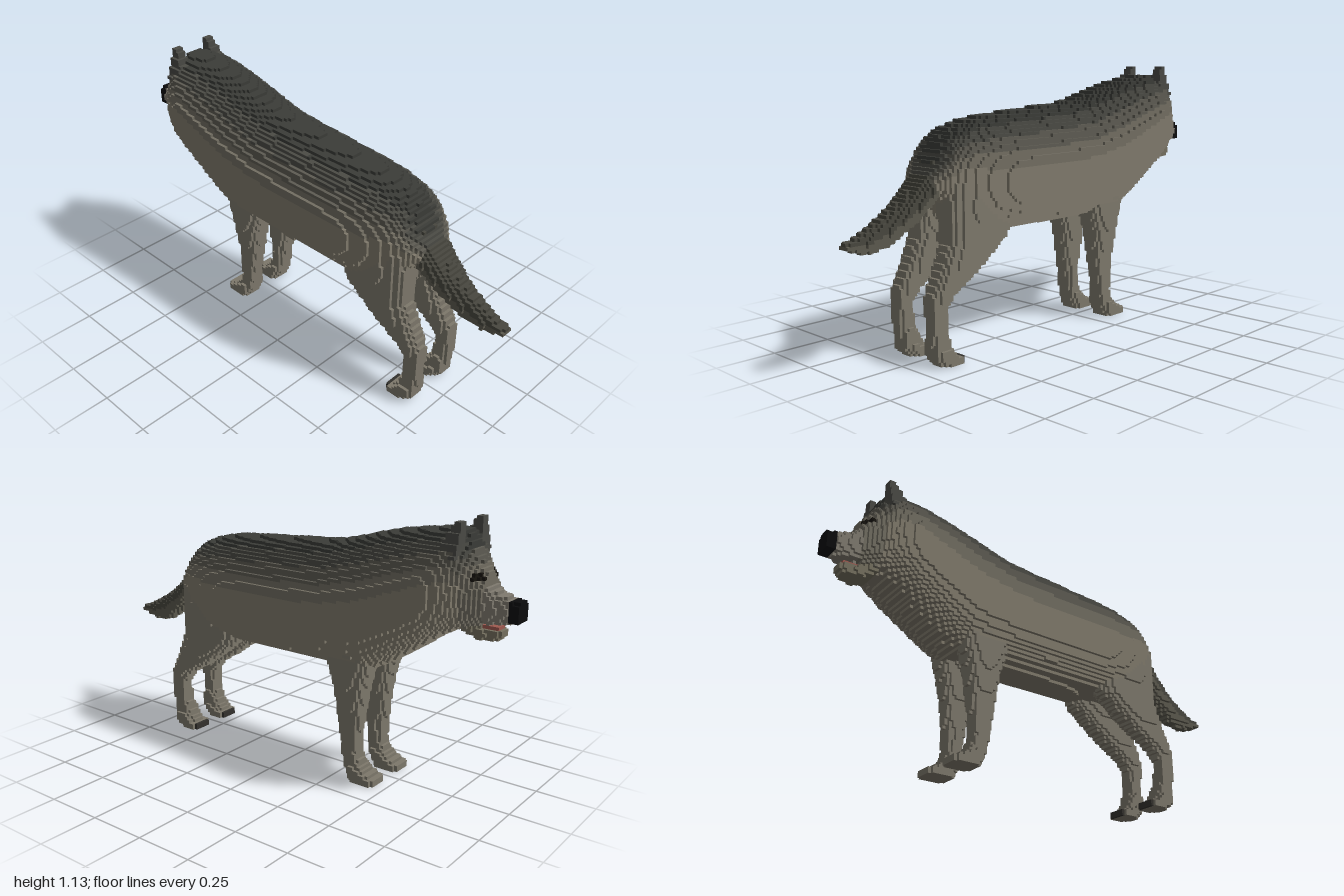
import * as THREE from 'three';

// The animal is filled into a fine grid of cubes; it faces -x.
const S = 1 / 75, NX = 150, NY = 86, NZ = 30;

// Interpolates a row of a profile table whose first column ascends
function row(table, t) {
  if (t < table[0][0] || t > table[table.length - 1][0]) return null;
  let i = 1;
  while (i < table.length - 1 && t > table[i][0]) i++;
  const a = table[i - 1], b = table[i], f = (t - a[0]) / (b[0] - a[0]);
  return a.map((v, k) => v + (b[k] - v) * f);
}

// Torso, neck and brow: x, bottom, widest height, top, half width
const TORSO = [
  [-0.87, 0.76, 0.82, 0.93, 0.075], [-0.82, 0.73, 0.85, 1.0, 0.115], [-0.79, 0.725, 0.87, 1.06, 0.145],
  [-0.77, 0.725, 0.87, 1.092, 0.165], [-0.72, 0.70, 0.87, 1.092, 0.192], [-0.66, 0.66, 0.85, 1.088, 0.203],
  [-0.5, 0.55, 0.78, 1.065, 0.203], [-0.4, 0.49, 0.74, 1.04, 0.203], [-0.2, 0.483, 0.70, 0.985, 0.203],
  [0, 0.483, 0.69, 0.97, 0.203], [0.28, 0.487, 0.69, 0.95, 0.202], [0.4, 0.49, 0.70, 0.938, 0.19],
  [0.5, 0.52, 0.72, 0.91, 0.17], [0.55, 0.57, 0.73, 0.88, 0.152], [0.6, 0.63, 0.71, 0.79, 0.13], [0.64, 0.66, 0.7, 0.74, 0.08],
];
// Tail: x, bottom, top, half width
const TAIL = [
  [0.55, 0.66, 0.87, 0.11], [0.62, 0.63, 0.765, 0.095], [0.7, 0.555, 0.685, 0.075], [0.76, 0.515, 0.64, 0.062],
  [0.82, 0.478, 0.60, 0.048], [0.9, 0.467, 0.555, 0.036], [0.95, 0.475, 0.53, 0.03], [1, 0.495, 0.515, 0.02],
];
// Muzzle above the open mouth, and the lower jaw
const MUZZLE = [[-1, 0.77, 0.85, 0.042], [-0.95, 0.765, 0.858, 0.048], [-0.9, 0.755, 0.875, 0.065], [-0.86, 0.75, 0.91, 0.078], [-0.8, 0.74, 0.95, 0.09]];
const JAW = [[-0.935, 0.712, 0.74, 0.03], [-0.9, 0.69, 0.732, 0.042], [-0.85, 0.69, 0.745, 0.055], [-0.79, 0.715, 0.77, 0.07]];
// Legs: y, front x, back x, inner z, outer z
const FORELEG = [
  [0, -0.46, -0.335, 0.04, 0.145], [0.025, -0.46, -0.32, 0.04, 0.153], [0.035, -0.42, -0.315, 0.04, 0.15],
  [0.07, -0.375, -0.305, 0.045, 0.138], [0.12, -0.358, -0.292, 0.058, 0.137], [0.2, -0.365, -0.28, 0.06, 0.138],
  [0.3, -0.375, -0.263, 0.05, 0.14], [0.4, -0.388, -0.25, 0.038, 0.153], [0.5, -0.415, -0.22, 0.03, 0.16], [0.66, -0.44, -0.18, 0, 0.185],
];
const HINDLEG = [
  [0, 0.545, 0.64, 0.04, 0.145], [0.025, 0.545, 0.67, 0.04, 0.153], [0.035, 0.585, 0.68, 0.045, 0.148],
  [0.08, 0.608, 0.687, 0.05, 0.138], [0.14, 0.625, 0.692, 0.065, 0.137], [0.22, 0.627, 0.696, 0.068, 0.138],
  [0.28, 0.585, 0.693, 0.055, 0.142], [0.34, 0.485, 0.665, 0.045, 0.15], [0.4, 0.4, 0.635, 0.036, 0.157],
  [0.48, 0.3, 0.602, 0.03, 0.163], [0.6, 0.28, 0.6, 0, 0.17], [0.7, 0.3, 0.6, 0, 0.168], [0.8, 0.38, 0.57, 0, 0.12],
];

const power = (u, v, n) => Math.abs(u) ** n + Math.abs(v) ** n <= 1;

// Section across x with one height range
function inTube(table, x, y, z, n) {
  const r = row(table, x);
  return !!r && power((y - (r[1] + r[2]) / 2) / ((r[2] - r[1]) / 2), z / r[3], n);
}

// Section across y, between front, back, inner and outer limits
function inLeg(table, x, y, z) {
  const r = row(table, y);
  return !!r && power((x - (r[1] + r[2]) / 2) / ((r[2] - r[1]) / 2), (z - (r[3] + r[4]) / 2) / ((r[4] - r[3]) / 2), 3);
}

// Pointed ear with a sloping back and outer edge
function inEar(x, y, z) {
  const d = 1.137 - y;
  return d > 0 && d < 0.14 && x > -0.793 && x < -0.765 + d * 0.5 && z > 0.068 && z < 0.098 + d * 0.35;
}

const COLORS = {
  coat0: 0x3b3c38, coat1: 0x4b4b45, coat2: 0x5e5c53, coat3: 0x726e62, coat4: 0x807a6c,
  foreLegs: 0x7d786b, hindLegs: 0x7d786b, tailTop: 0x48473f, tailUnderside: 0x5c594e,
  muzzle: 0x7f7a6f, jaw: 0x75705f, tongue: 0xa05a50, nose: 0x0c0c0d, eyes: 0x17140f, ears: 0x4a4a45, claws: 0x33312d,
};
const NAMES = { coat0: 'backCoat', coat1: 'upperCoat', coat2: 'shoulderCoat', coat3: 'flankCoat', coat4: 'bellyCoat' };
const KEYS = Object.keys(COLORS);

// Names the part that fills a point, or null for air
function partAt(x, y, zs) {
  const z = Math.abs(zs);
  if (inTube(MUZZLE, x, y, z, 2.8)) {
    if (x < -0.955) return 'nose';
    if (x < -0.86) return 'muzzle';
  }
  if (x < -0.85 && x > -0.925 && y > 0.725 && y < 0.75 && z < 0.028) return 'tongue';
  if (inTube(JAW, x, y, z, 2.8)) return 'jaw';
  const t = row(TORSO, x);
  if (t) {
    const h = y > t[2] ? (y - t[2]) / (t[3] - t[2]) : (t[2] - y) / (t[2] - t[1]);
    if (power(h, z / t[4], y > t[2] ? 2.2 : 2.7)) {
      if (x < -0.825 && Math.abs(y - 0.935) < 0.016 && z > 0.045) return 'eyes';
      if (x < -0.8) return y > 0.97 ? 'coat2' : 'coat3';
      // Darkest along the spine, paler towards the belly
      const up = y > t[2] ? h : -h;
      return up > 0.86 ? 'coat0' : up > 0.68 ? 'coat1' : up > 0.46 ? 'coat2' : up > 0.2 ? 'coat3' : 'coat4';
    }
  }
  if (inEar(x, y, z)) return 'ears';
  if (inTube(TAIL, x, y, z, 2.2)) {
    const r = row(TAIL, x);
    return y > (r[1] + r[2]) / 2 ? 'tailTop' : 'tailUnderside';
  }
  const fore = inLeg(FORELEG, x, y, z);
  if (fore || inLeg(HINDLEG, x, y, z)) {
    if (y < 0.026 && x < (fore ? -0.447 : 0.557)) return 'claws';
    return fore ? 'foreLegs' : 'hindLegs';
  }
  return null;
}

export function createModel() {
  // Fill the grid
  const grid = new Uint8Array(NX * NY * NZ);
  const index = (i, j, k) => (k * NY + j) * NX + i;
  for (let k = 0; k < NZ; k++) for (let j = 0; j < NY; j++) for (let i = 0; i < NX; i++) {
    const part = partAt((i + 0.5) * S - 1, (j + 0.5) * S, (k + 0.5 - NZ / 2) * S);
    if (part) grid[index(i, j, k)] = KEYS.indexOf(part) + 1;
  }
  const size = [NX, NY, NZ];
  const at = (c) => (c.some((v, a) => v < 0 || v >= size[a]) ? 0 : grid[index(...c)]);

  // Collect only the cube faces that touch air
  const parts = KEYS.map(() => ({ position: [], normal: [], index: [] }));
  for (let k = 0; k < NZ; k++) for (let j = 0; j < NY; j++) for (let i = 0; i < NX; i++) {
    const id = grid[index(i, j, k)];
    if (!id) continue;
    const p = parts[id - 1];
    for (let axis = 0; axis < 3; axis++) for (const dir of [1, -1]) {
      const next = [i, j, k];
      next[axis] += dir;
      if (at(next)) continue;
      const u = (axis + 1) % 3, v = (axis + 2) % 3, base = p.position.length / 3;
      for (const [du, dv] of [[0, 0], [1, 0], [1, 1], [0, 1]]) {
        const c = [i, j, k], n = [0, 0, 0];
        c[axis] += dir > 0 ? 1 : 0;
        c[u] += du;
        c[v] += dv;
        n[axis] = dir;
        p.position.push(c[0] * S - 1, c[1] * S, (c[2] - NZ / 2) * S);
        p.normal.push(...n);
      }
      const order = dir > 0 ? [0, 1, 2, 0, 2, 3] : [0, 2, 1, 0, 3, 2];
      p.index.push(...order.map((o) => base + o));
    }
  }

  // One mesh for each part of the animal
  const group = new THREE.Group();
  group.name = 'wolf';
  KEYS.forEach((key, n) => {
    const p = parts[n];
    if (!p.index.length) return;
    const geometry = new THREE.BufferGeometry();
    geometry.setAttribute('position', new THREE.Float32BufferAttribute(p.position, 3));
    geometry.setAttribute('normal', new THREE.Float32BufferAttribute(p.normal, 3));
    geometry.setIndex(p.index);
    const mesh = new THREE.Mesh(geometry, new THREE.MeshStandardMaterial({ color: COLORS[key] }));
    mesh.name = NAMES[key] || key;
    group.add(mesh);
  });
  return group;
}
